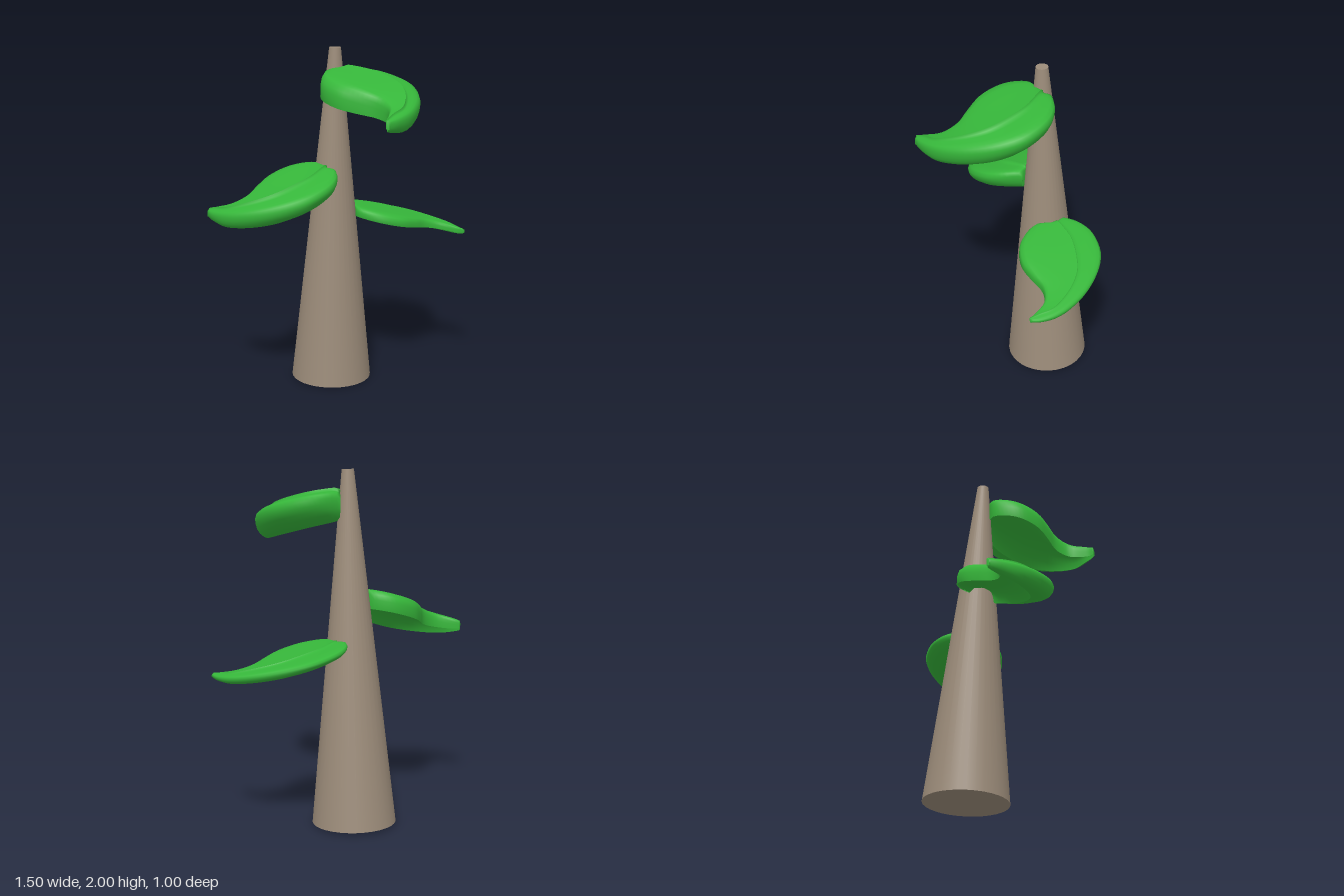
import * as THREE from 'three';

const bark = new THREE.MeshStandardMaterial({ color: 0x9c8c7a });
const green = new THREE.MeshStandardMaterial({ color: 0x36b63a, side: THREE.DoubleSide });

// Leaf plan [x, z] from base to tip: inner edge, midrib and outer edge
const plan = (pts) => new THREE.SplineCurve(pts.map(([x, z]) => new THREE.Vector2(x - 0.08, z - 0.1)));
const inner = plan([[0, -0.16], [-0.09, -0.15], [-0.15, -0.07], [-0.165, 0.02], [-0.13, 0.12],
  [-0.05, 0.2], [0.03, 0.27], [0.055, 0.36], [0.01, 0.45], [-0.02, 0.485]]);
const midrib = plan([[0.05, -0.19], [0.1, -0.14], [0.17, -0.06], [0.215, 0.05], [0.235, 0.15],
  [0.22, 0.24], [0.18, 0.33], [0.12, 0.41], [0.04, 0.455], [-0.015, 0.49]]);
const outer = plan([[0.08, -0.235], [0.2, -0.215], [0.3, -0.15], [0.37, -0.02], [0.365, 0.12],
  [0.31, 0.26], [0.23, 0.37], [0.15, 0.44], [0.06, 0.485], [-0.005, 0.5]]);

// Cross-section halves: [distance from edge to midrib, height].
// Both run between the midrib crest and the keel; the inner half is hollowed underneath.
const innerSection = [[1, -0.25], [0.9, 0.05], [0.7, 0.28], [0.4, 0.36], [0.15, 0.25], [0.03, 0.05], [0, 0],
  [0.005, 0.4], [0.03, 0.62], [0.1, 0.8], [0.25, 0.87], [0.5, 0.91], [0.75, 0.95], [1, 1]];
const outerSection = [[1, 1], [0.96, 0.9], [0.8, 0.86], [0.5, 0.84], [0.25, 0.8], [0.08, 0.73], [0, 0.58],
  [0.04, 0.38], [0.15, 0.18], [0.35, 0], [0.65, -0.15], [1, -0.25]];

// Half a leaf, turned by yaw and leaning so that y = base + slopeX * x + slopeZ * z
function leafHalf(name, edge, section, o) {
  const steps = 36;
  const rows = [[0, 0]];
  for (let i = 0; i <= steps; i++) {
    const t = i / steps;
    rows.push([t, Math.min(1, 0.9 + 2 * t) * (1 - 0.65 * t ** 2.2) + 0.2 * Math.sin(Math.PI * t)]);
  }
  rows.push([1, 0]);

  const c = Math.cos(o.yaw), s = Math.sin(o.yaw);
  const positions = [], index = [];
  for (const [t, rise] of rows) {
    const e = edge.getPoint(t), m = midrib.getPoint(t);
    const tipLift = 0.03 * t ** 4;
    for (const [w, h] of section) {
      const p = e.clone().lerp(m, w);
      p.x *= o.width;
      const x = o.x + p.x * c + p.y * s;
      const z = o.z - p.x * s + p.y * c;
      positions.push(x, o.base + o.slopeX * x + o.slopeZ * z + h * rise * o.thickness + tipLift, z);
    }
  }
  const n = section.length;
  for (let i = 0; i < rows.length - 1; i++) {
    for (let j = 0; j < n - 1; j++) {
      const a = i * n + j, b = a + n;
      index.push(a, b, a + 1, b, b + 1, a + 1);
    }
  }
  const geo = new THREE.BufferGeometry();
  geo.setAttribute('position', new THREE.Float32BufferAttribute(positions, 3));
  geo.setIndex(index);
  geo.computeVertexNormals();
  const mesh = new THREE.Mesh(geo, green);
  mesh.name = name;
  return mesh;
}

function leaf(name, o) {
  const g = new THREE.Group();
  g.name = name;
  g.add(leafHalf('innerBlade', inner, innerSection, o));
  g.add(leafHalf('outerBlade', outer, outerSection, o));
  return g;
}

export function createModel() {
  const model = new THREE.Group();
  model.name = 'tree';

  // Tapered, slightly leaning trunk
  const trunk = new THREE.Mesh(new THREE.CylinderGeometry(0.034, 0.238, 1.992, 32), bark);
  trunk.name = 'trunk';
  trunk.position.set(0, 1.003, -0.231);
  trunk.rotation.x = 0.035;
  model.add(trunk);

  // Three drooping leaves at different heights
  const deg = Math.PI / 180;
  model.add(leaf('frontLeaf', { x: 0.08, z: 0.1, yaw: 0, width: 1, base: 1.71, slopeX: -0.06, slopeZ: -0.25, thickness: 0.145 }));
  model.add(leaf('rightLeaf', { x: -0.37, z: -0.163, yaw: -100 * deg, width: 1, base: 1.221, slopeX: 0.315, slopeZ: -0.12, thickness: 0.125 }));
  model.add(leaf('leftLeaf', { x: 0.4, z: -0.175, yaw: 67 * deg, width: 0.85, base: 1.027, slopeX: -0.23, slopeZ: -0.04, thickness: 0.065 }));
  return model;
}
